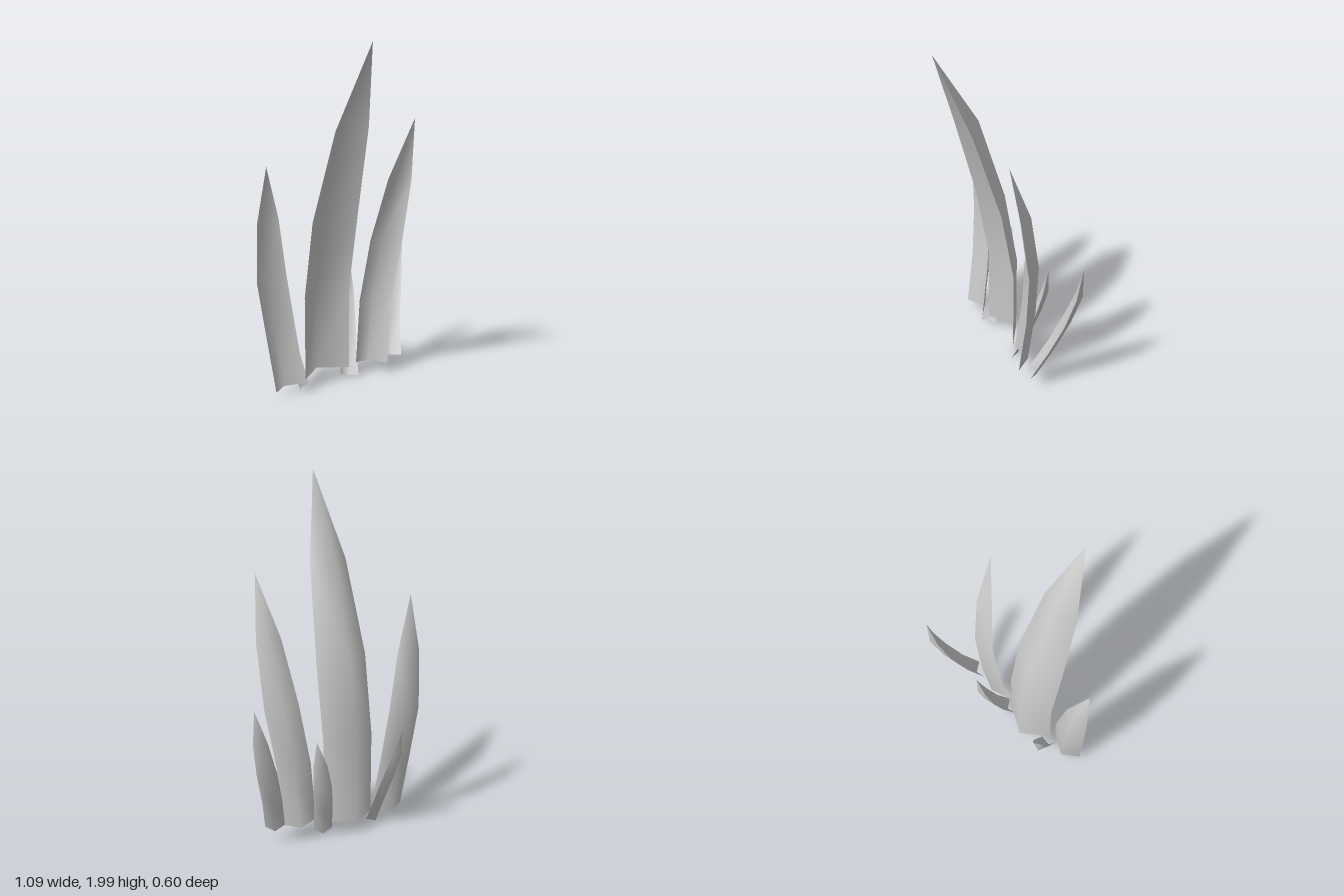
import * as THREE from 'three';

const WIDTHS = [1, 1, 1, 0.72]; // width of each row relative to the base
const FOLD = [0.34, 0.34, 0.34, 0.31]; // depth of the crease behind the edges

// A creased leaf blade: spine = five points from base to tip, across = vector over its width
function createBlade(name, spine, across) {
  const pts = spine.map((p) => new THREE.Vector3(...p));
  const side = new THREE.Vector3(...across);
  const positions = [];
  const index = [];

  // Rows of left edge, crease, right edge
  WIDTHS.forEach((w, i) => {
    const tangent = pts[i + 1].clone().sub(pts[i]).normalize();
    if (i > 0) tangent.add(pts[i].clone().sub(pts[i - 1]).normalize());
    const back = tangent.cross(side).setLength(side.length() * FOLD[i]);
    const left = pts[i].clone().addScaledVector(side, -w / 2);
    const right = pts[i].clone().addScaledVector(side, w / 2);
    const crease = pts[i].clone().add(back);
    for (const v of [left, crease, right]) positions.push(v.x, v.y, v.z);
  });
  positions.push(...pts[4].toArray());

  for (let row = 0; row < 4; row++) {
    for (let col = 0; col < 2; col++) {
      const a = row * 3 + col;
      if (row < 3) index.push(a, a + 1, a + 4, a, a + 4, a + 3);
      else index.push(a, a + 1, 12); // pointed tip
    }
  }

  const geometry = new THREE.BufferGeometry();
  geometry.setAttribute('position', new THREE.Float32BufferAttribute(positions, 3));
  geometry.setIndex(index);
  geometry.computeVertexNormals();
  const material = new THREE.MeshStandardMaterial({ color: 0xcccccc, side: THREE.DoubleSide });
  const mesh = new THREE.Mesh(geometry, material);
  mesh.name = name;
  return mesh;
}

export function createModel() {
  const group = new THREE.Group();
  group.name = 'grassTuft';

  const blades = [
    ['tallCentreBlade',
      [[-0.11, 0.07, -0.1], [-0.11, 0.55, -0.1], [-0.11, 1.0, -0.02], [-0.11, 1.52, 0.13], [-0.11, 2.0, 0.3]],
      [0.31, 0, 0]],
    ['leftTallBlade',
      [[0.175, 0.08, -0.055], [0.217, 0.44, -0.075], [0.278, 0.79, -0.055], [0.317, 1.16, 0.015], [0.35, 1.52, 0.1]],
      [0.175, -0.025, 0.07]],
    ['rightTallBlade',
      [[-0.387, 0.06, -0.07], [-0.415, 0.385, -0.12], [-0.448, 0.68, -0.15], [-0.475, 1.015, -0.14], [-0.51, 1.33, -0.095]],
      [0.195, 0.01, 0]],
    ['leftOuterBlade',
      [[0.33, 0.095, -0.06], [0.385, 0.29, -0.14], [0.445, 0.49, -0.2], [0.5, 0.69, -0.24], [0.54, 0.89, -0.255]],
      [0.095, -0.015, 0.055]],
    ['leftSmallBlade',
      [[0.045, 0.025, -0.095], [0.08, 0.19, -0.165], [0.11, 0.34, -0.21], [0.14, 0.49, -0.24], [0.17, 0.64, -0.255]],
      [0.09, -0.015, 0.05]],
    ['rightSmallBlade',
      [[-0.27, 0.025, -0.1], [-0.28, 0.18, -0.17], [-0.302, 0.33, -0.225], [-0.33, 0.48, -0.27], [-0.345, 0.62, -0.3]],
      [0.09, 0.015, -0.045]],
  ];
  for (const blade of blades) group.add(createBlade(...blade));
  return group;
}
